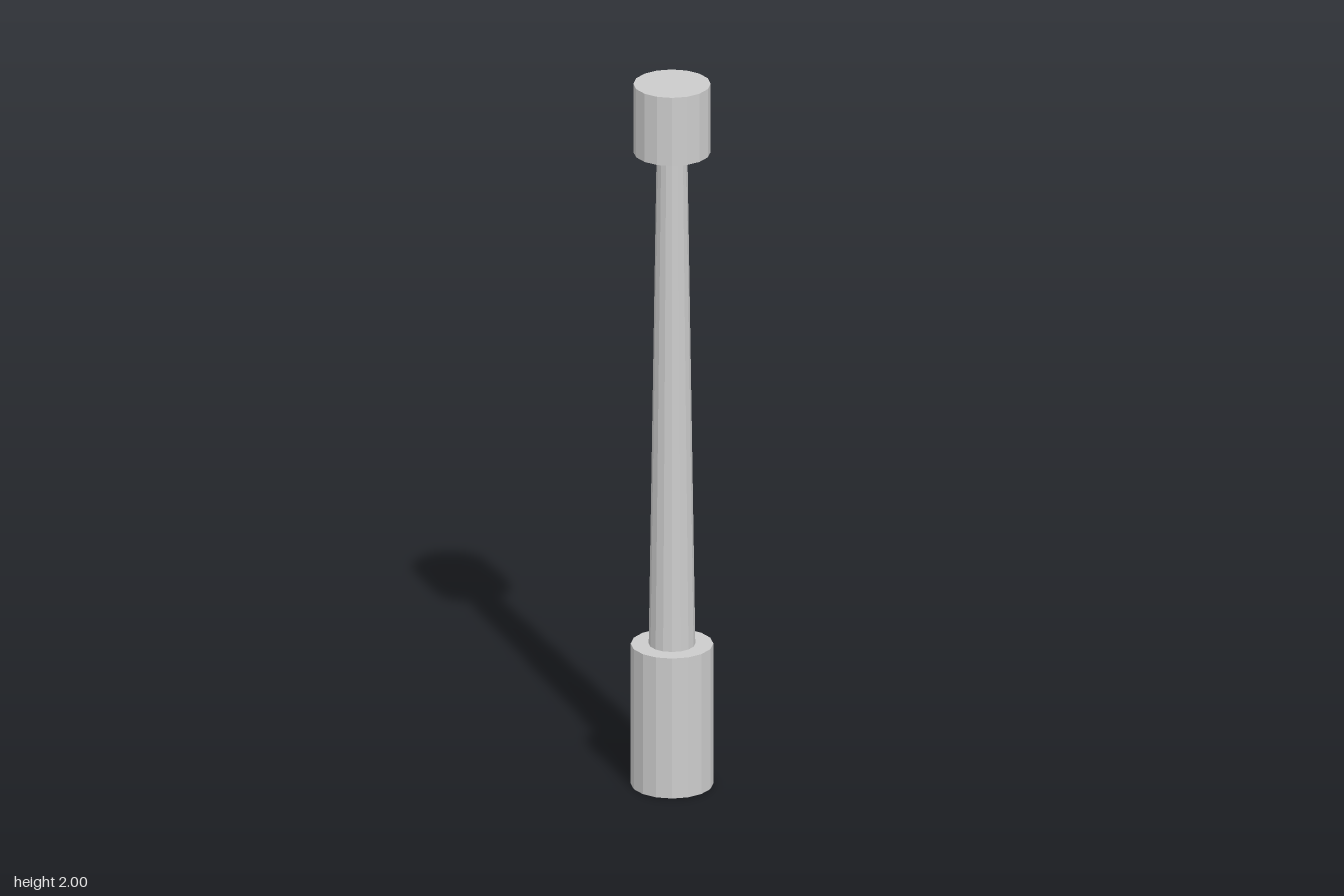
import * as THREE from 'three';

const SIDES = 16;

export function createModel() {
  const group = new THREE.Group();
  const material = new THREE.MeshStandardMaterial({ color: 0xcccccc, flatShading: true });

  // One faceted, optionally tapered section between two heights
  const addSection = (name, bottomRadius, topRadius, y0, y1) => {
    const geometry = new THREE.CylinderGeometry(topRadius, bottomRadius, y1 - y0, SIDES);
    const mesh = new THREE.Mesh(geometry, material);
    mesh.name = name;
    mesh.position.y = (y0 + y1) / 2;
    group.add(mesh);
  };

  addSection('base', 0.11, 0.11, 0, 0.4);
  addSection('shaft', 0.062, 0.041, 0.4, 1.805);
  addSection('head', 0.103, 0.103, 1.805, 2);

  return group;
}
